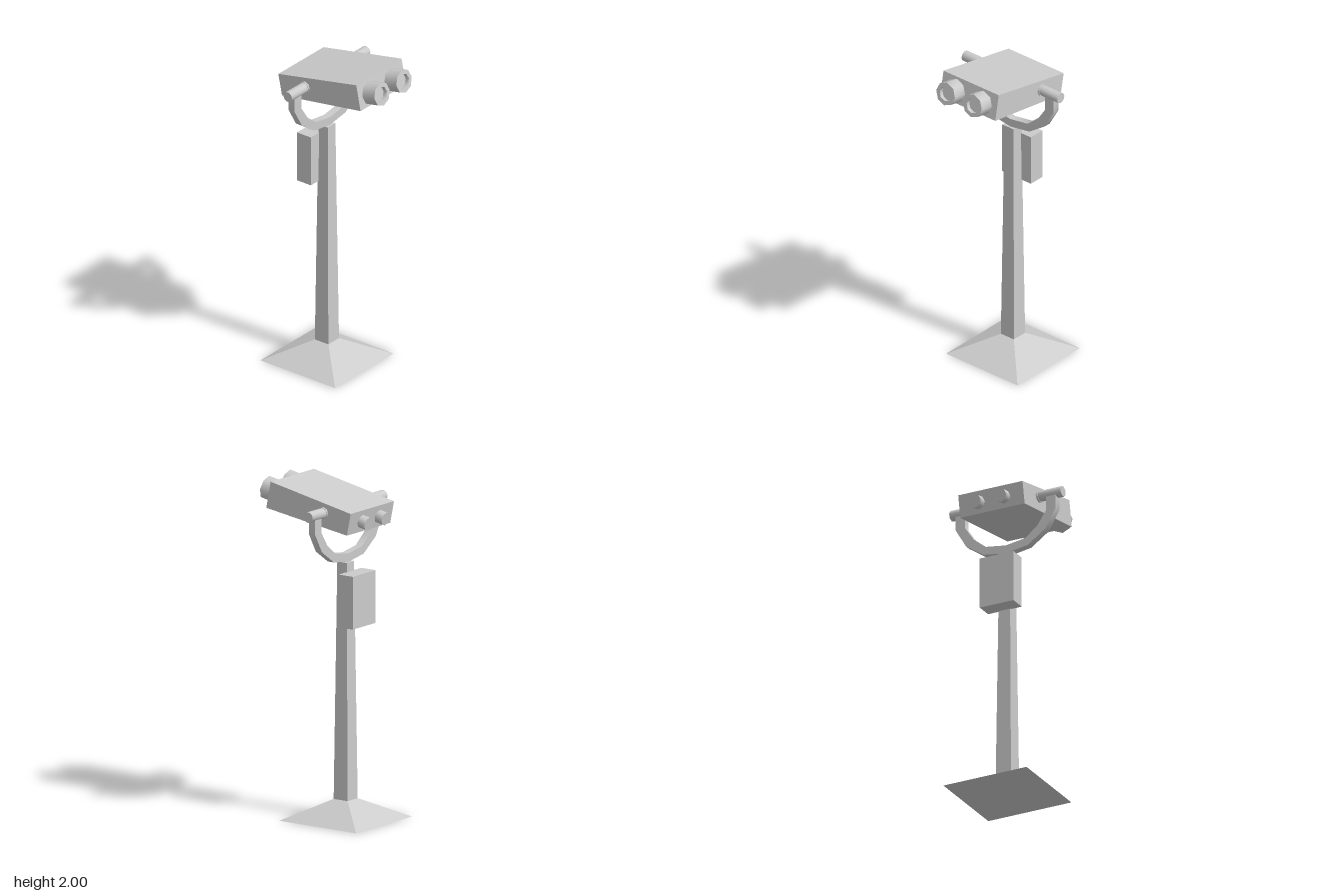
import * as THREE from 'three';
import { toCreasedNormals } from 'three/addons/utils/BufferGeometryUtils.js';

const AXIS_Z = -0.111; // depth of the post and pivot
const HEAD_X = 0.007; // the head sits slightly off centre
const TILT = 0.183; // upward tilt of the head

export function createModel() {
  const model = new THREE.Group();
  model.name = 'viewerOnStand';
  const flat = new THREE.MeshStandardMaterial({ color: 0xcccccc, flatShading: true });
  const smooth = new THREE.MeshStandardMaterial({ color: 0xcccccc });

  const add = (name, geometry, x, y, z, material = flat) => {
    const mesh = new THREE.Mesh(geometry, material);
    mesh.name = name;
    mesh.position.set(x, y, z);
    model.add(mesh);
    return mesh;
  };
  const creased = (geometry) => toCreasedNormals(geometry, 0.9);
  const polygon = (points) => new THREE.Shape(points.map(([x, y]) => new THREE.Vector2(x, y)));

  // Square column with different half widths at top and bottom
  const taper = (top, bottom, height) =>
    new THREE.CylinderGeometry(top * Math.SQRT2, bottom * Math.SQRT2, height, 4).rotateY(Math.PI / 4);

  // Stand
  const base = add('base', taper(0.05, 0.274, 0.12), 0, 0.06, AXIS_Z);
  base.scale.z = 1.013;
  add('post', taper(0.035, 0.05, 1.415), 0, 0.8275, AXIS_Z);
  add('rearBox', new THREE.BoxGeometry(0.222, 0.315, 0.103), 0, 1.3225, -0.1935);

  // U-shaped yoke
  const outer = [[0.33, 1.845], [0.33, 1.755], [0.262, 1.638], [0.145, 1.557], [0, 1.535]];
  const inner = [[0.267, 1.845], [0.267, 1.755], [0.21, 1.67], [0.13, 1.605], [0, 1.586]];
  const span = (half) => [...half, ...half.slice(0, -1).reverse().map(([x, y]) => [-x, y])];
  const yokeGeometry = new THREE.ExtrudeGeometry(
    polygon([...span(outer), ...span(inner).reverse()]),
    { depth: 0.045, bevelEnabled: false }
  );
  add('yoke', creased(yokeGeometry), 0, 0, AXIS_Z - 0.0225, smooth);

  // Wedge-shaped head, drawn in side profile (z, y)
  const headWidth = 0.424;
  const headGeometry = new THREE.ExtrudeGeometry(
    polygon([[0.27, 1.998], [-0.309, 1.883], [-0.282, 1.75], [0.301, 1.838]]),
    { depth: headWidth, bevelEnabled: false }
  ).rotateY(-Math.PI / 2);
  add('head', headGeometry, HEAD_X + headWidth / 2, 0, 0);

  // Pivot arms with collars
  for (const side of [1, -1]) {
    const prefix = side > 0 ? 'left' : 'right';
    const arm = new THREE.CylinderGeometry(0.032, 0.032, 0.187, 12).rotateZ(Math.PI / 2);
    add(prefix + 'PivotArm', creased(arm), side * 0.2735, 1.862, AXIS_Z, smooth);
    const collar = new THREE.CylinderGeometry(0.036, 0.036, 0.03, 8).rotateZ(Math.PI / 2);
    add(prefix + 'Collar', creased(collar), HEAD_X + side * 0.209, 1.862, AXIS_Z, smooth);
  }

  // Octagonal lens barrels with a recess, and small eyepieces at the rear
  const barrelProfile = [[0, -0.12], [0.072, -0.12], [0.072, 0], [0.045, 0], [0.045, -0.025], [0, -0.025]]
    .map(([r, y]) => new THREE.Vector2(r, y));
  for (const side of [1, -1]) {
    const prefix = side > 0 ? 'left' : 'right';
    const barrel = creased(new THREE.LatheGeometry(barrelProfile, 8));
    const lens = add(prefix + 'Lens', barrel, 0.005 + side * 0.103, 1.93, 0.376, smooth);
    lens.rotation.x = Math.PI / 2 - TILT;
    const eyeGeometry = creased(new THREE.CylinderGeometry(0.041, 0.041, 0.08, 8).translate(0, 0.04, 0));
    const eyepiece = add(prefix + 'Eyepiece', eyeGeometry, 0.008 + side * 0.084, 1.805, -0.345, smooth);
    eyepiece.rotation.x = Math.PI / 2 - TILT;
  }

  return model;
}
